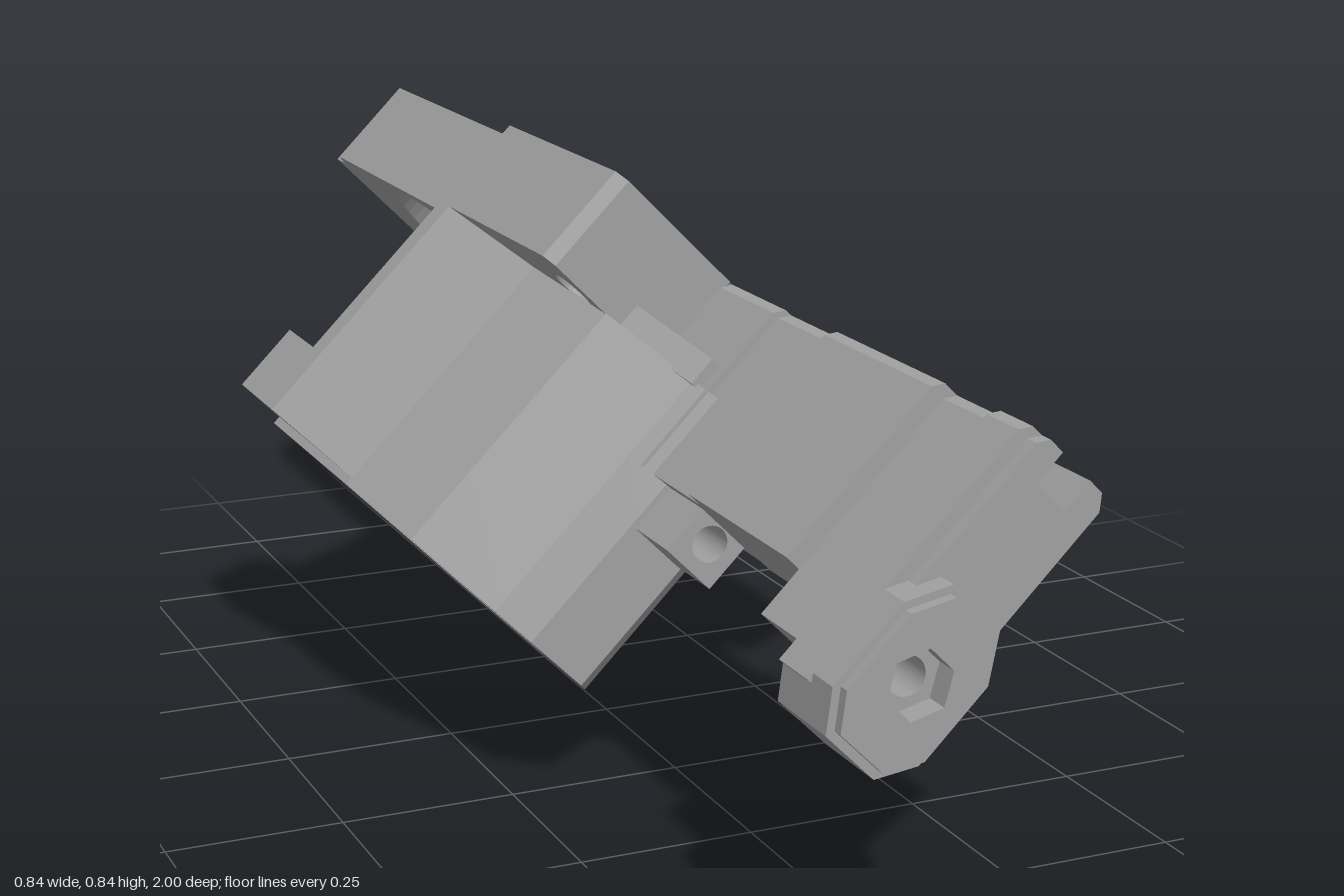
import * as THREE from 'three';

const grey = new THREE.MeshStandardMaterial({ color: 0xa0a0a0 });
grey.name = 'grey plastic';

// Working frame: x across the plate, y out of the plate, z along the part.
const BORE_Y = -0.04;
const circle = (x, y, r) => new THREE.Path().absarc(x, y, r, 0, Math.PI * 2, true);
const bore = () => circle(0, BORE_Y, 0.026);
const polygon = (pts, holes = []) => {
  const shape = new THREE.Shape(pts.map(([x, y]) => new THREE.Vector2(x, y)));
  shape.holes.push(...holes);
  return shape;
};
const rect = (w, y0, y1) => [[-w, y0], [w, y0], [w, y1], [-w, y1]];
const ngon = (n, r) => Array.from({ length: n }, (_, i) => {
  const a = -(i / n) * Math.PI * 2;
  return [Math.cos(a) * r, BORE_Y + Math.sin(a) * r];
});
const mirrored = (half) => [...half, ...half.map(([x, y]) => [-x, y]).reverse()];

export function createModel() {
  const part = new THREE.Group();
  part.name = 'fanMount';

  function add(name, geometry, x = 0, y = 0, z = 0) {
    const mesh = new THREE.Mesh(geometry, grey);
    mesh.name = name;
    mesh.position.set(x, y, z);
    part.add(mesh);
    return mesh;
  }

  // Extrude a cross-section along z
  function along(name, pts, z0, z1, holes = []) {
    const g = new THREE.ExtrudeGeometry(polygon(pts, holes), { depth: z1 - z0, bevelEnabled: false, curveSegments: 20 });
    return add(name, g, 0, 0, z0);
  }

  // Extrude a plan drawn in (x, -z) outward along y
  function upward(name, pts, y0, y1, holes = []) {
    const g = new THREE.ExtrudeGeometry(polygon(pts, holes), { depth: y1 - y0, bevelEnabled: false, curveSegments: 28 });
    g.rotateX(-Math.PI / 2);
    return add(name, g, 0, y0, 0);
  }

  // Hub held by five spokes inside a round opening
  function fanGrille(z, y0, y1, hubR, openR) {
    const mid = (y0 + y1) / 2;
    add('fanHub', new THREE.CylinderGeometry(hubR, hubR, y1 - y0, 40), 0, mid, z);
    for (let i = 0; i < 5; i++) {
      const a = (i / 5) * Math.PI * 2 + 0.06;
      const r = (hubR + openR) / 2;
      const spoke = add('fanSpoke', new THREE.BoxGeometry(openR - hubR + 0.02, y1 - y0 - 0.004, 0.034),
        Math.cos(a) * r, mid, z + Math.sin(a) * r);
      spoke.rotation.y = -a;
    }
  }

  // Rounded slot shared by the plate and the housing under it
  const pocket = () => {
    const p = new THREE.Path();
    p.absarc(0.1, 0.09, 0.092, -Math.PI / 2, Math.PI / 2, false);
    p.absarc(-0.1, 0.09, 0.092, Math.PI / 2, Math.PI * 1.5, false);
    p.closePath();
    return p;
  };

  // Face plate with fan opening, screw holes and pocket
  upward('facePlate', mirrored([
    [0.035, -0.03], [0.035, -0.07], [0.07, -0.1], [0.295, -0.1], [0.311, -0.08],
    [0.311, 0.33], [0.262, 0.375], [0.262, 0.94], [0.24, 0.96], [0.24, 1],
  ]), 0.125, 0.283, [circle(0, 0.615, 0.245), circle(0, 0.935, 0.045), pocket(),
    circle(0.22, -0.035, 0.034), circle(-0.22, -0.035, 0.034)]);
  fanGrille(-0.615, 0.19, 0.283, 0.098, 0.245);

  // Housing: widest at the back, narrowing to the nose, with slanted rear cheeks
  const flank = [[0.052, -0.315], [0.086, -0.24], [0.187, -0.1], [0.228, 0.1], [0.311, 0.3]];
  const upperFlank = [...flank, [0.311, 0.34], [0.16, 0.49]];
  upward('housingUpper', mirrored(upperFlank), -0.012, 0.126, [pocket()]);
  upward('housingLower', mirrored(upperFlank), -0.172, -0.068);
  for (const s of [-1, 1]) {
    const side = [[0.028, -0.315], ...upperFlank, [0.028, 0.49]].map(([x, y]) => [s * x, y]);
    upward('housingSide', side, -0.068, -0.012);
  }
  along('boreLining', rect(0.03, -0.07, -0.01), -0.489, 0.314, [bore()]);
  along('pocketRidge', mirrored([[0.055, -0.011], [0.05, 0.02], [0.025, 0.045]]), -0.19, 0.01);
  upward('shoulder', mirrored([[0.09, -0.25], [0.16, -0.095]]), 0.12, 0.165);

  // Underside walls around a second round fan opening
  const underFan = () => circle(0, 0.13, 0.2);
  upward('underWall', mirrored([...flank, [0.311, 0.46], [0.28, 0.49]]), -0.283, -0.17, [underFan()]);
  upward('underRim', mirrored([...flank.slice(0, 4), [0.228, 0.46]]), -0.296, -0.282, [underFan()]);
  fanGrille(-0.13, -0.293, -0.25, 0.08, 0.2);

  // Screw sockets on the slanted cheeks and the back
  for (const s of [-1, 1]) {
    for (const y of [-0.075, 0.06]) {
      const cheek = add('screwSocket', new THREE.TorusGeometry(0.034, 0.009, 8, 28), s * 0.222, y, -0.428);
      cheek.rotation.y = Math.PI - s * Math.PI / 4;
      add('rearSocket', new THREE.TorusGeometry(0.03, 0.007, 8, 28), s * 0.1, y, -0.487);
    }
    add('rearRib', new THREE.BoxGeometry(0.02, 0.24, 0.014), s * 0.045, -0.01, -0.489);
  }

  // Arm with a channel along its outer face; each run has its own width
  const runs = [
    ['armRoot', 0.075, -0.012, 0.095, 0.27],
    ['armNeck', 0.064, -0.012, 0.27, 0.44],
    ['armMiddle', 0.087, -0.012, 0.44, 0.73],
    ['armFront', 0.062, -0.085, 0.73, 0.86],
    ['armHead', 0.083, -0.12, 0.86, 0.935],
    ['armTip', 0.065, -0.11, 0.935, 0.955],
  ];
  for (const [name, w, bottom, z0, z1] of runs) {
    along(name, mirrored([[w, bottom], [w, 0.268], [w - 0.012, 0.283], [0.028, 0.283], [0.028, 0.235]]),
      z0, z1, bottom < BORE_Y ? [bore()] : []);
  }
  along('underTab', rect(0.045, -0.085, 0), 0.3, 0.42, [bore()]);

  // Tall eight-sided foot with a hexagonal nut seat
  const footSection = (k) => mirrored([[0.046, -0.118], [0.083, -0.07], [0.083, 0.06], [0.046, 0.115]])
    .map(([x, y]) => [x * k, BORE_Y + y * k]);
  along('foot', footSection(1), 0.86, 0.965, [bore()]);
  along('nutSeat', footSection(1), 0.965, 0.985, [polygon(ngon(6, 0.046))]);
  along('nutSeatRim', footSection(0.9), 0.985, 1, [polygon(ngon(6, 0.046))]);

  // Turn the part onto its edge
  part.rotation.z = -Math.PI / 4;
  part.position.y = 0.42;
  const model = new THREE.Group();
  model.name = 'model';
  model.add(part);
  return model;
}
